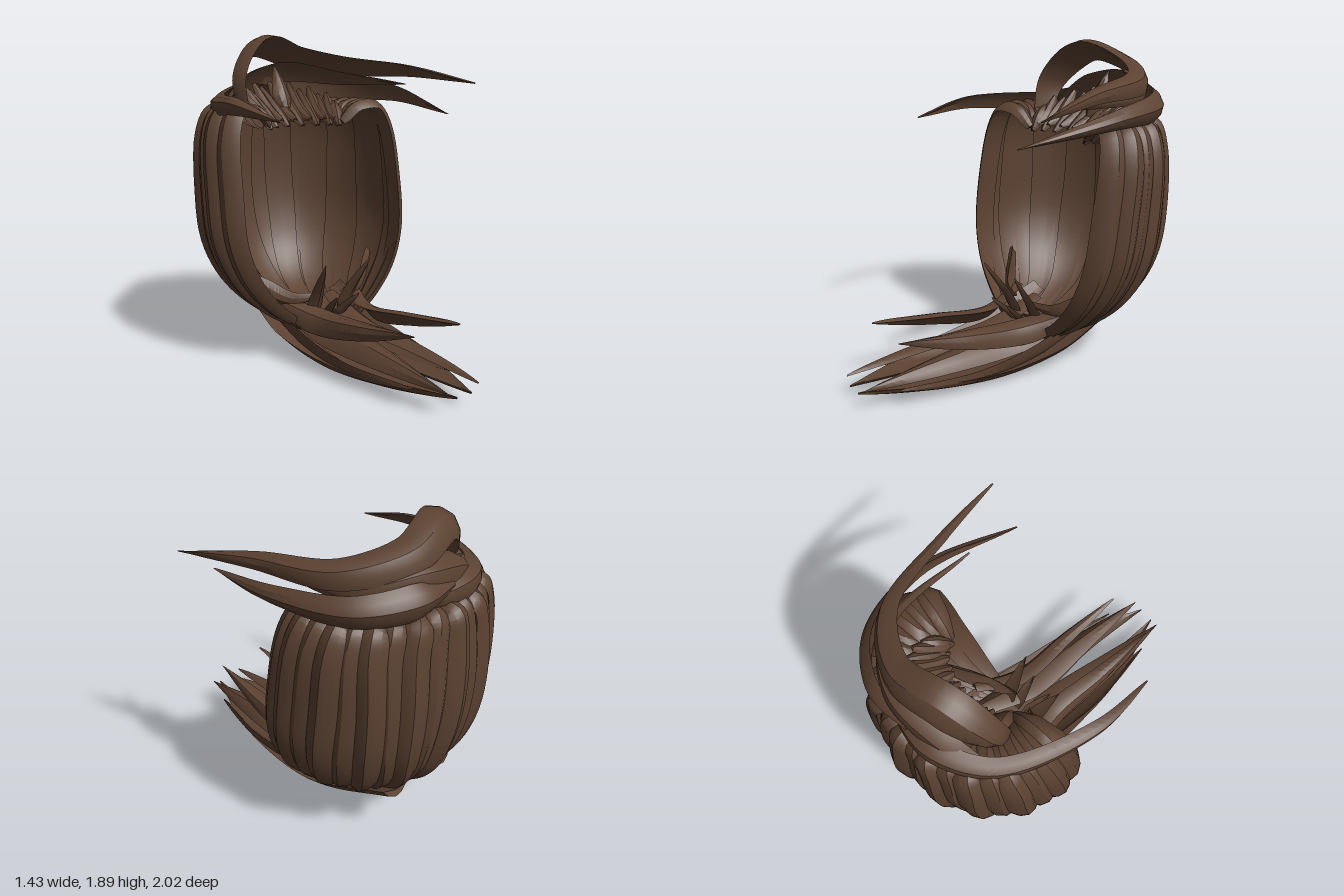
import * as THREE from 'three';
import { toCreasedNormals } from 'three/addons/utils/BufferGeometryUtils.js';

const MID = -0.04; // x of the hair's plane of symmetry
const SECTION = [[1, -0.2], [0.55, 0.65], [0, 1], [-0.55, 0.65], [-1, -0.2], [0, 0.1]]; // crescent
const material = new THREE.MeshStandardMaterial({ color: 0x5c4232, side: THREE.DoubleSide });

// Width rules along a lock: swelling to a pointed tip, or full with narrowed ends
const pointed = u => Math.min(1, 0.5 + 1.8 * u) * (1 - u ** 2.6);
const narrowed = u => 0.35 + 0.65 * Math.sin(Math.PI * u) ** 0.7;

// Directions in which a lock bulges: away from a centre, or constant
const awayFrom = (x, y, z) => p => p.clone().sub(new THREE.Vector3(x, y, z));
const facing = (x, y, z) => () => new THREE.Vector3(x, y, z);

// Sweeps a crescent along a curve through the points.
function lock(name, points, width, thickness, outward, steps = 28, profile = pointed) {
  const curve = new THREE.CatmullRomCurve3(points.map(p => new THREE.Vector3(...p)));
  const rings = [];
  for (let i = 0; i <= steps; i++) {
    const u = i / steps;
    const w = Math.max(0.02, profile(u));
    const p = curve.getPoint(u), t = curve.getTangent(u);
    const n = outward(p);
    n.addScaledVector(t, -n.dot(t)).normalize();
    const s = new THREE.Vector3().crossVectors(n, t);
    rings.push(SECTION.map(([a, b]) => p.clone()
      .addScaledVector(s, a * width * w).addScaledVector(n, b * thickness * Math.sqrt(w))));
  }
  const positions = [];
  const tri = (...corners) => corners.forEach(q => positions.push(q.x, q.y, q.z));
  const m = SECTION.length, first = rings[0], last = rings[steps];
  for (let i = 0; i < steps; i++) {
    for (let j = 0; j < m; j++) {
      const a = rings[i][j], b = rings[i][(j + 1) % m];
      const c = rings[i + 1][(j + 1) % m], d = rings[i + 1][j];
      tri(a, b, c);
      tri(a, c, d);
    }
  }
  // End caps fan out from the hollow of the crescent
  for (let j = 0; j < m - 2; j++) {
    tri(first[m - 1], first[j + 1], first[j]);
    tri(last[m - 1], last[j], last[j + 1]);
  }
  const geometry = new THREE.BufferGeometry();
  geometry.setAttribute('position', new THREE.Float32BufferAttribute(positions, 3));
  const mesh = new THREE.Mesh(toCreasedNormals(geometry, 0.5), material);
  mesh.name = name;
  return mesh;
}

// Point on a horseshoe of half width rx at height y; angle 0 is the middle of the back.
const EDGE = THREE.MathUtils.degToRad(108);
function horseshoe(angle, y, rx, zFront, zBack) {
  const k = (Math.cos(angle) - Math.cos(EDGE)) / (1 - Math.cos(EDGE));
  return [MID + rx * Math.sin(angle), y, THREE.MathUtils.lerp(zFront, zBack, k)];
}

function group(name, parent) {
  const g = new THREE.Group();
  g.name = name;
  parent.add(g);
  return g;
}

// Hanging locks: from the inner arch, over the rim, down the back and gathered below
function addHangingLocks(parent) {
  const levels = [ // y, rx, zFront, zBack
    [1.36, 0.29, -0.38, -0.64], [1.45, 0.4, -0.36, -0.8], [1.45, 0.54, -0.34, -0.91],
    [1.33, 0.61, -0.31, -0.94], [1, 0.635, -0.25, -0.97], [0.7, 0.62, -0.21, -0.94],
    [0.48, 0.53, -0.18, -0.86], [0.31, 0.38, -0.16, -0.7], [0.18, 0.18, -0.14, -0.36],
  ];
  const count = 19;
  for (let i = 0; i < count; i++) {
    const angle = THREE.MathUtils.lerp(-EDGE, EDGE, i / (count - 1)) * 0.98;
    const inset = i % 2 ? 0 : 0.025; // alternate locks sit a little deeper
    const points = levels.map(([y, rx, zFront, zBack], k) => {
      const sway = 0.04 * Math.sin(k * 0.8 + i) * Math.cos(angle);
      return horseshoe(angle + sway, y, rx * (1 - inset), zFront, zBack + inset);
    });
    parent.add(lock('hangingLock', points, 0.09 + inset * 0.2, 0.045, awayFrom(MID, 0.9, -0.45), 40, narrowed));
  }
}

// Fringe of short tufts around the inner arch
function addTufts(parent) {
  for (let i = 0; i < 15; i++) {
    const angle = THREE.MathUtils.lerp(-1.5, 1.5, i / 14);
    const odd = i % 2;
    const points = [
      horseshoe(angle, 1.34 + odd * 0.04, 0.25, -0.34, -0.5),
      horseshoe(angle, 1.43, 0.27, -0.38, -0.62),
      horseshoe(angle, 1.47 + 0.1 * Math.cos(angle) + odd * 0.03, 0.31, -0.42, -0.8),
    ];
    parent.add(lock('tuft', points, 0.045, 0.03, facing(-Math.sin(angle) * 0.5, 0.6, 1), 5, narrowed));
  }
  parent.add(lock('middleTuft', [[-0.03, 1.44, -0.62], [-0.03, 1.56, -0.68], [-0.03, 1.71, -0.76]],
    0.07, 0.04, facing(0, 0, 1), 6));
}

// Gathered tail: one side's locks, mirrored when flip is -1
function addTailSide(parent, flip) {
  const add = (name, width, thickness, [dx, dy, dz], ...points) => parent.add(lock(name,
    points.map(([x, y, z]) => [MID + flip * x, y, z]), width, thickness, facing(flip * dx, dy, dz)));
  add('lowerTailLock', 0.17, 0.06, [0.15, -1, 0],
    [0.2, 0.36, -0.78], [0.18, 0.14, -0.3], [0.16, 0.06, 0.1], [0.15, 0.07, 0.5], [0.05, 0.1, 1]);
  add('outerTailLock', 0.09, 0.05, [0.6, -0.8, 0],
    [0.26, 0.3, -0.45], [0.22, 0.14, -0.05], [0.22, 0.09, 0.35], [0.17, 0.11, 0.8]);
  add('upperTailLock', 0.12, 0.05, [0.35, 1, 0],
    [0.16, 0.27, -0.35], [0.11, 0.18, 0.05], [0.12, 0.16, 0.5], [0.11, 0.13, 0.99]);
  add('risingTailLock', 0.09, 0.05, [0.7, 0.8, 0],
    [0.28, 0.32, -0.3], [0.17, 0.25, 0], [0.17, 0.3, 0.4], [0.16, 0.38, 0.8]);
  add('crossLock', 0.07, 0.04, [0, -0.6, 1],
    [0.48, 0.5, -0.4], [0.25, 0.35, -0.22], [0.06, 0.37, -0.12]);
  add('tailSpike', 0.06, 0.03, [0, -0.4, 1],
    [0.11, 0.2, -0.18], [0.12, 0.36, -0.11], [0.16, 0.59, 0.04]);
  add('shortTailSpike', 0.04, 0.03, [0, -0.4, 1],
    [0.03, 0.2, -0.15], [0.06, 0.3, -0.06], [0.08, 0.39, 0.04]);
}

// Large locks swept over the crown and wrapped around the back
function addCrownLocks(parent) {
  const overTop = awayFrom(0, 1.35, -0.4);
  parent.add(
    lock('crownSweep', [[-0.38, 1.44, -0.52], [-0.37, 1.64, -0.59], [-0.17, 1.83, -0.69], [0.12, 1.77, -0.75],
      [0.42, 1.71, -0.58], [0.57, 1.68, -0.15], [0.7, 1.61, 0.3]], 0.12, 0.055, overTop, 48),
    lock('innerSweep', [[-0.4, 1.47, -0.7], [-0.22, 1.59, -0.78], [0.08, 1.67, -0.81], [0.38, 1.63, -0.62],
      [0.46, 1.6, -0.05]], 0.1, 0.05, overTop, 40),
    lock('leftWrap', [[-0.08, 1.58, -0.84], [0.17, 1.58, -0.86], [0.44, 1.56, -0.7], [0.57, 1.54, -0.3],
      [0.49, 1.44, 0.29]], 0.1, 0.05, awayFrom(MID, 1.5, -0.35), 40),
    lock('rightWrap', [[0.05, 1.54, -0.84], [-0.22, 1.54, -0.84], [-0.49, 1.49, -0.65], [-0.65, 1.5, -0.15],
      [-0.62, 1.44, 0.24]], 0.09, 0.05, awayFrom(MID, 1.2, -0.35), 40),
  );
}

export function createModel() {
  const model = new THREE.Group();
  model.name = 'hair';
  addHangingLocks(group('hangingLocks', model));
  addTufts(group('rootTufts', model));
  const tail = group('tail', model);
  addTailSide(tail, 1);
  addTailSide(tail, -1);
  addCrownLocks(group('crownLocks', model));
  return model;
}
